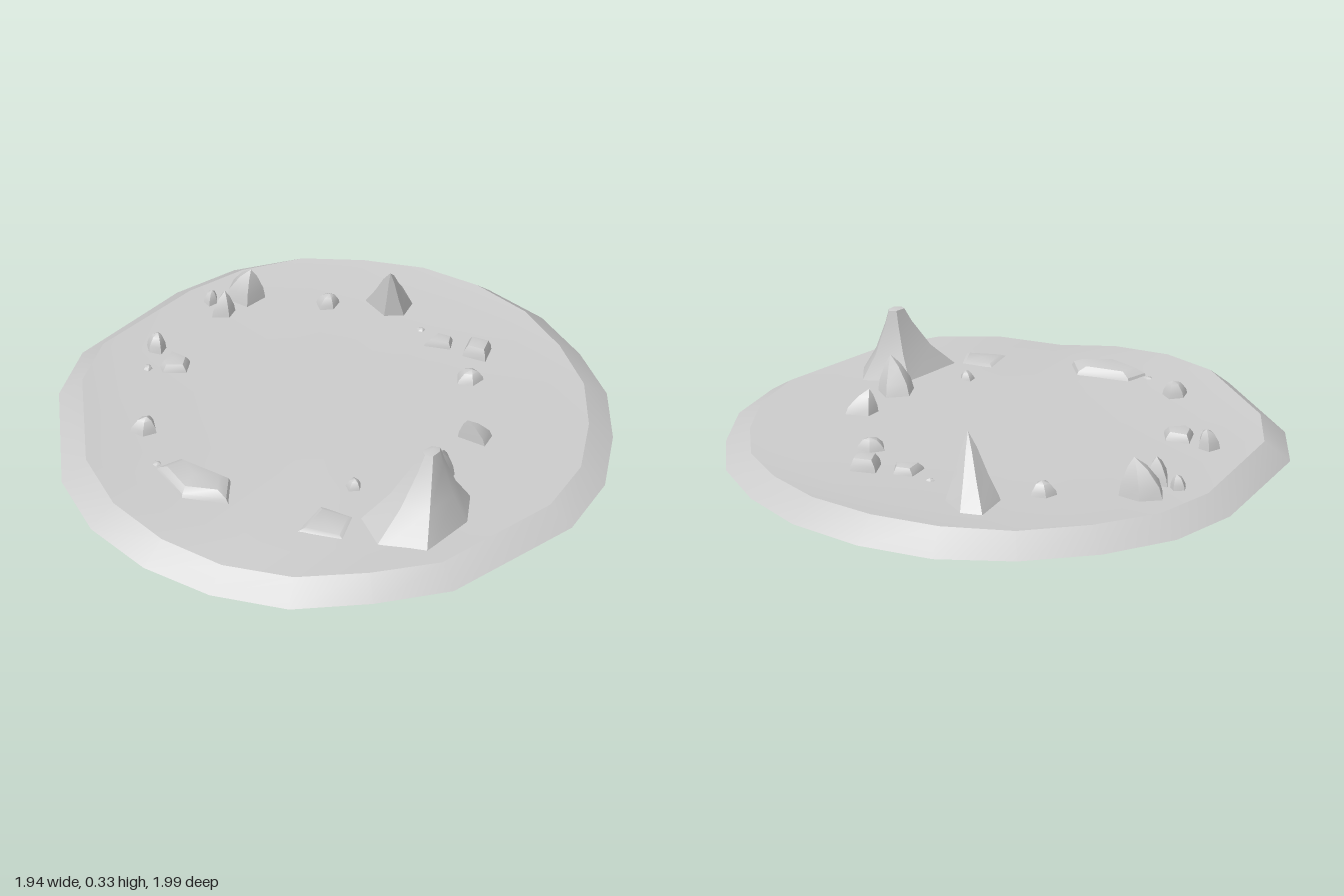
import * as THREE from 'three';
import { toCreasedNormals } from 'three/addons/utils/BufferGeometryUtils.js';

const material = new THREE.MeshStandardMaterial({ color: 0xcccccc, side: THREE.DoubleSide });

// Skin a stack of equal rings from bottom to top and close it with a single peak point.
function loft(name, rings, peak, crease) {
  const n = rings[0].length;
  const points = [...rings.flat(), peak];
  const index = [];
  rings.forEach((ring, r) => {
    for (let i = 0; i < n; i++) {
      const a = r * n + i, b = r * n + (i + 1) % n;
      if (r === rings.length - 1) index.push(a, points.length - 1, b);
      else index.push(a, a + n, b, b, a + n, b + n);
    }
  });
  const geometry = new THREE.BufferGeometry();
  geometry.setAttribute('position', new THREE.Float32BufferAttribute(points.flat(), 3));
  geometry.setIndex(index);
  const mesh = new THREE.Mesh(toCreasedNormals(geometry, crease), material);
  mesh.name = name;
  return mesh;
}

// Rock over an [x, z] outline, rising to a peak; steps are [pull towards peak, share of height].
function rock(name, outline, peak, steps, baseY = 0.055) {
  const cx = outline.reduce((s, p) => s + p[0], 0) / outline.length;
  const cz = outline.reduce((s, p) => s + p[1], 0) / outline.length;
  const angle = (p) => Math.atan2(p[1] - cz, p[0] - cx);
  const base = [...outline].sort((p, q) => angle(p) - angle(q));
  const rings = [[0, 0], ...steps].map(([t, h]) => base.map(([x, z]) => [
    x + (peak[0] - x) * t, baseY + (peak[1] - baseY) * h, z + (peak[2] - z) * t,
  ]));
  return loft(name, rings, peak, 0.6);
}

// Uneven five-sided outline for small stones.
function stoneOutline(x, z, r) {
  return [1, 0.85, 1.1, 0.9, 1.05].map((k, i) => {
    const a = i * Math.PI * 0.4 + x * 9 + z * 5;
    return [x + r * k * Math.cos(a), z + r * k * Math.sin(a)];
  });
}

export function createModel() {
  const group = new THREE.Group();

  // Ground disc, open below: [x, z, outer edge height, inner edge height]
  const rim = [
    [-0.02, -1, 0.04, 0.1], [0.24, -0.96, 0.035, 0.095], [0.48, -0.86, 0.03, 0.1],
    [0.68, -0.7, 0.03, 0.1], [0.84, -0.49, 0.03, 0.095], [0.93, -0.25, 0.025, 0.085],
    [0.97, 0, 0.025, 0.077], [0.93, 0.25, 0.025, 0.075], [0.84, 0.5, 0.025, 0.075],
    [0.68, 0.7, 0.025, 0.078], [0.24, 0.96, 0.035, 0.082], [-0.02, 0.99, 0.04, 0.09],
    [-0.28, 0.96, 0.02, 0.075], [-0.52, 0.84, 0, 0.055], [-0.72, 0.7, 0.015, 0.075],
    [-0.88, 0.5, 0.025, 0.09], [-0.97, 0.25, 0.03, 0.1], [-0.97, -0.25, 0.03, 0.1],
    [-0.88, -0.49, 0.03, 0.095], [-0.51, -0.84, 0.03, 0.085], [-0.28, -0.96, 0.035, 0.09],
  ];
  const ring = (s, height) => rim.map((p) => [p[0] * s, height(p), p[1] * s]);
  group.add(loft('ground', [
    ring(1, (p) => p[2]),
    ring(0.91, (p) => p[3]),
    ring(0.78, (p) => 0.4 * p[3] + 0.045),
    ring(0.4, () => 0.078),
  ], [0, 0.078, 0], 0.4));

  // Tall concave peak at the front and the leaning spike at the back
  group.add(rock('mountain',
    [[-0.05, 0.63], [0.2, 0.48], [0.39, 0.55], [0.35, 0.7], [0.17, 0.85], [-0.01, 0.79]],
    [0.23, 0.33, 0.605], [[0.5, 0.44], [0.76, 0.8], [0.86, 0.98]], 0.04));
  group.add(rock('leaningRock',
    [[0.18, -0.63], [0.28, -0.74], [0.35, -0.7], [0.37, -0.58], [0.32, -0.5], [0.24, -0.51]],
    [0.26, 0.28, -0.49], [[0.15, 0.18], [0.45, 0.46], [0.75, 0.8]]));

  // Pointed and blocky rocks with their own outlines
  const pointed = [[0.2, 0.45], [0.6, 0.8]];
  const blocky = [[0.12, 0.6], [0.35, 0.9]];
  const rocks = [
    [[[-0.34, -0.7], [-0.31, -0.78], [-0.23, -0.76], [-0.18, -0.69], [-0.26, -0.63]], [-0.235, 0.21, -0.69], pointed],
    [[[-0.4, -0.58], [-0.36, -0.68], [-0.3, -0.62], [-0.33, -0.57]], [-0.34, 0.17, -0.62], pointed],
    [[[-0.61, -0.29], [-0.56, -0.37], [-0.49, -0.31], [-0.51, -0.24], [-0.6, -0.25]], [-0.55, 0.115, -0.3], blocky],
    [[[-0.66, 0.28], [-0.57, 0.24], [-0.4, 0.38], [-0.42, 0.5], [-0.58, 0.45]], [-0.53, 0.115, 0.37], blocky],
    [[[0.2, 0.42], [0.24, 0.34], [0.33, 0.35], [0.34, 0.44], [0.27, 0.5]], [0.28, 0.2, 0.47], pointed],
    [[[0.38, 0.24], [0.43, 0.2], [0.51, 0.25], [0.47, 0.31]], [0.41, 0.16, 0.26], pointed],
    [[[0.48, -0.22], [0.52, -0.3], [0.6, -0.25], [0.56, -0.17]], [0.55, 0.13, -0.23], blocky],
    [[[0.35, -0.3], [0.41, -0.36], [0.47, -0.32], [0.45, -0.26]], [0.43, 0.11, -0.3], blocky],
    [[[-0.23, 0.66], [-0.13, 0.53], [-0.01, 0.61], [-0.07, 0.74]], [-0.12, 0.088, 0.64], blocky],
  ];
  rocks.forEach(([outline, peak, steps]) => group.add(rock('rock', outline, peak, steps)));

  // Small stones: [x, z, radius, top height]
  const stones = [
    [-0.39, -0.69, 0.035, 0.13], [0.04, -0.61, 0.05, 0.13], [-0.61, -0.41, 0.045, 0.15],
    [-0.65, -0.29, 0.03, 0.095], [-0.68, 0.07, 0.052, 0.14], [-0.65, 0.26, 0.03, 0.09],
    [-0.01, 0.46, 0.036, 0.11], [0.48, -0.08, 0.055, 0.12], [0.36, -0.4, 0.025, 0.09],
  ];
  for (const [x, z, r, top] of stones) {
    group.add(rock('stone', stoneOutline(x, z, r), [x + r * 0.2, top, z], [[0.2, 0.55], [0.55, 0.88]]));
  }
  return group;
}
